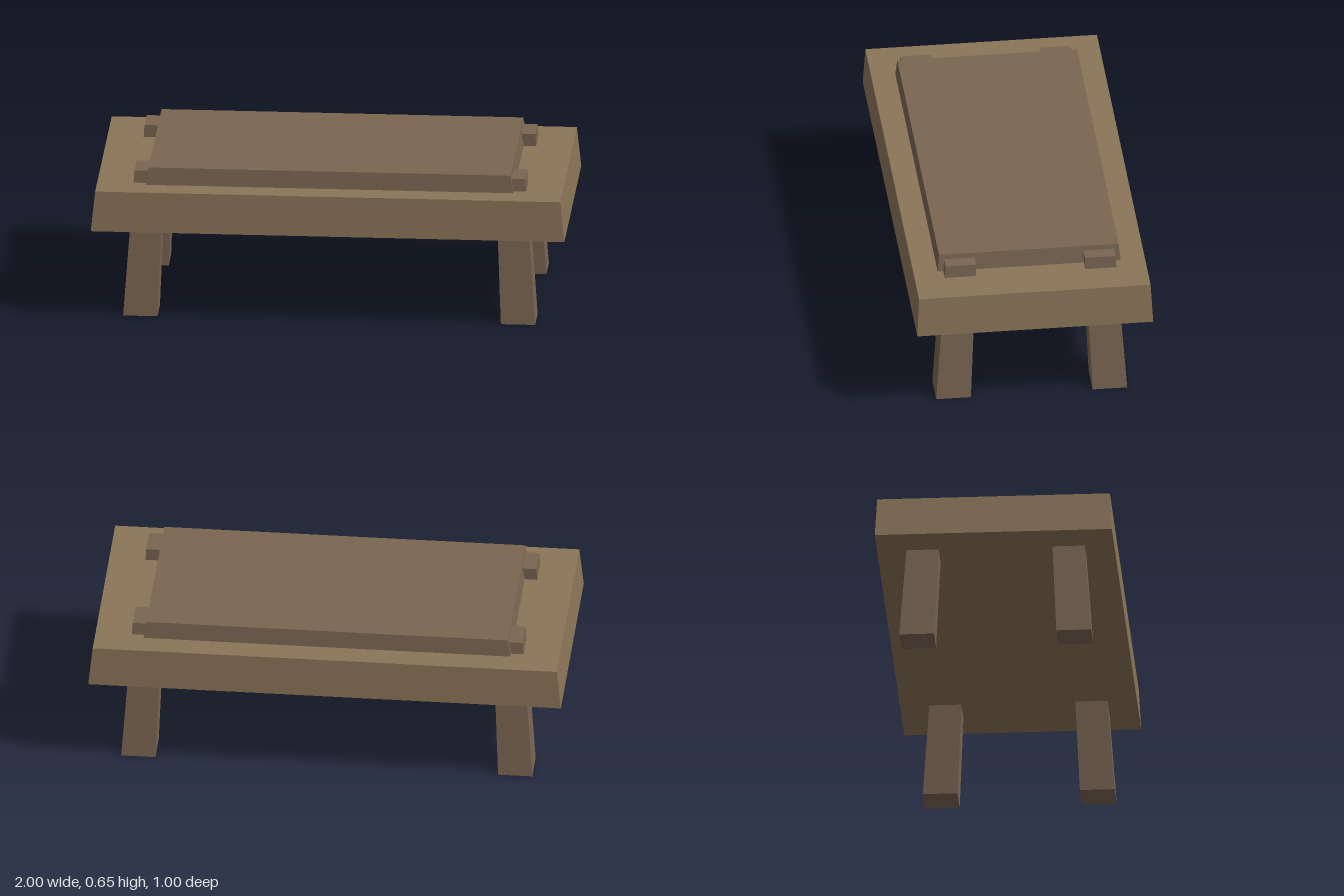
import * as THREE from 'three';

const lightWood = new THREE.MeshStandardMaterial({ color: 0x8b7558, flatShading: true });
const darkWood = new THREE.MeshStandardMaterial({ color: 0x7a6652, flatShading: true });

// Block whose bottom and top rectangles [x0, x1, z0, z1] differ.
function taperedBlock(name, y0, y1, bottom, top, material) {
  const geometry = new THREE.BoxGeometry(1, 1, 1);
  const p = geometry.attributes.position;
  for (let i = 0; i < p.count; i++) {
    const r = p.getY(i) > 0 ? top : bottom;
    p.setXYZ(i, p.getX(i) > 0 ? r[1] : r[0], p.getY(i) > 0 ? y1 : y0, p.getZ(i) > 0 ? r[3] : r[2]);
  }
  geometry.computeVertexNormals();
  const mesh = new THREE.Mesh(geometry, material);
  mesh.name = name;
  return mesh;
}

const centred = (x, z) => [-x, x, -z, z];
const span = (a, b, sign) => (sign > 0 ? [a, b] : [-b, -a]);

export function createModel() {
  const group = new THREE.Group();
  group.name = 'lowTable';

  // Thick table slab and the thinner board lying on it
  group.add(taperedBlock('tableSlab', 0.404, 0.578, centred(1, 0.5), centred(0.982, 0.491), lightWood));
  group.add(taperedBlock('topBoard', 0.578, 0.653, centred(0.776, 0.388), centred(0.764, 0.381), darkWood));

  // Splayed legs pass through the slab and show as stubs beside the board
  for (const sx of [-1, 1]) {
    for (const sz of [-1, 1]) {
      const foot = [...span(0.725, 0.87, sx), ...span(0.258, 0.405, sz)];
      const head = [...span(0.7, 0.825, sx), ...span(0.23, 0.36, sz)];
      const name = (sz > 0 ? 'front' : 'back') + (sx > 0 ? 'Left' : 'Right') + 'Leg';
      group.add(taperedBlock(name, 0, 0.632, foot, head, darkWood));
    }
  }
  return group;
}
